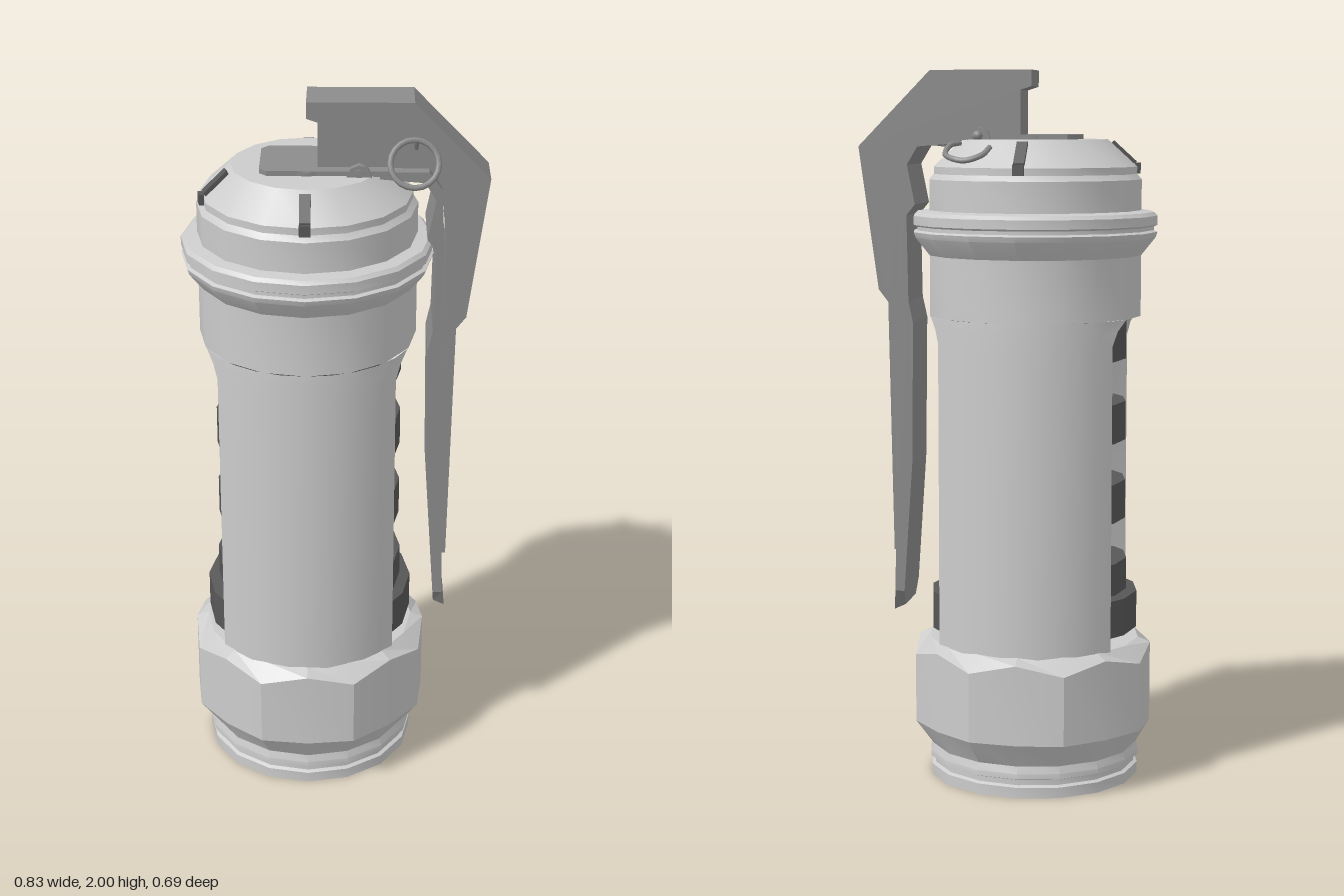
import * as THREE from 'three';
import { toCreasedNormals } from 'three/addons/utils/BufferGeometryUtils.js';

const mat = (color) => new THREE.MeshStandardMaterial({ color, side: THREE.DoubleSide });
const AXIS = -0.075; // x of the body's axis
const SIDES = 16;

export function createModel() {
  const root = new THREE.Group();
  const grey = mat(0xcccccc), steel = mat(0x8c8c8c), dark = mat(0x585858);

  const add = (parent, name, geometry, material, x = 0, y = 0, z = 0) => {
    const mesh = new THREE.Mesh(geometry, material);
    mesh.name = name;
    mesh.position.set(x, y, z);
    parent.add(mesh);
    return mesh;
  };
  const lathe = (points) => toCreasedNormals(
    new THREE.LatheGeometry(points.map(([r, y]) => new THREE.Vector2(r, y)), SIDES), 0.45);
  // Side outline extruded symmetrically across z
  const slab = (points, width) => {
    const shape = new THREE.Shape(points.map(([x, y]) => new THREE.Vector2(x, y)));
    return new THREE.ExtrudeGeometry(shape, { depth: width, bevelEnabled: false })
      .translate(0, 0, -width / 2);
  };
  const tube = (points, radius) => new THREE.TubeGeometry(
    new THREE.CatmullRomCurve3(points.map((p) => new THREE.Vector3(...p))), 20, radius, 6);

  const body = new THREE.Group();
  body.name = 'body';
  body.position.x = AXIS;
  root.add(body);

  // Threaded foot
  add(body, 'base', lathe([[0, 0], [0.3, 0], [0.3, 0.03], [0.29, 0.035], [0.29, 0.05],
    [0.303, 0.055], [0.303, 0.07], [0.295, 0.09], [0.295, 0.12]]), grey);

  // Eight-sided nut with a scalloped upper chamfer
  const nut = new THREE.LatheGeometry([[0.295, 0.09], [0.335, 0.16], [0.335, 0.36],
    [0.3, 0.4], [0.2, 0.4]].map(([r, y]) => new THREE.Vector2(r, y)), SIDES);
  const p = nut.attributes.position;
  for (let i = 0; i < p.count; i++) {
    const level = i % 5, corner = Math.floor(i / 5) % 2 === 1;
    if (corner && (level === 1 || level === 2)) {
      p.setX(i, p.getX(i) * 1.035);
      p.setZ(i, p.getZ(i) * 1.035);
    }
    if (level === 2) p.setY(i, corner ? 0.355 : 0.385);
  }
  add(body, 'nut', toCreasedNormals(nut, 0.3), grey);

  // Half shells, leaving a window on each side
  const shellHalf = () => {
    const levels = [[0.34, 36], [1.25, 36], [1.29, 32], [1.32, 24]];
    const N = 10, ring = 2 * (N + 1), pos = [], idx = [];
    levels.forEach(([y, deg], k) => {
      const g = THREE.MathUtils.degToRad(deg);
      for (let i = 0; i < ring; i++) {
        const outer = i <= N, r = outer ? 0.3 : 0.2;
        const a = g + (Math.PI - 2 * g) * (outer ? i : ring - 1 - i) / N;
        pos.push(r * Math.cos(a), y, r * Math.sin(a));
        if (k === 0) continue;
        const j = (i + 1) % ring, lo = (k - 1) * ring, up = k * ring;
        idx.push(lo + j, lo + i, up + i, lo + j, up + i, up + j);
      }
    });
    const geo = new THREE.BufferGeometry();
    geo.setAttribute('position', new THREE.Float32BufferAttribute(pos, 3));
    geo.setIndex(idx);
    return toCreasedNormals(geo, 0.5);
  };
  add(body, 'frontShell', shellHalf(), grey);
  add(body, 'backShell', shellHalf().rotateY(Math.PI), grey);

  // Inner core and its dark bands
  add(body, 'core', lathe([[0.21, 0.35], [0.21, 1.34]]), grey);
  for (const y of [0.745, 0.97, 1.2]) {
    add(body, 'band', lathe([[0.205, y], [0.26, y], [0.26, y + 0.11], [0.205, y + 0.11]]), dark);
  }
  add(body, 'lowerBand', lathe([[0.205, 0.43], [0.295, 0.43], [0.295, 0.535], [0.265, 0.54],
    [0.265, 0.63], [0.205, 0.63]]), dark);

  // Head with double flange and domed cap
  add(body, 'head', lathe([[0.2, 1.32], [0.3, 1.32], [0.3, 1.49], [0.34, 1.54], [0.345, 1.555],
    [0.335, 1.56], [0.335, 1.57], [0.345, 1.575], [0.345, 1.6], [0.335, 1.61], [0.3, 1.615],
    [0.3, 1.7], [0.287, 1.715], [0.287, 1.735], [0.205, 1.81], [0, 1.81]]), grey);

  // Dark marks on the cap: front, back and right
  for (const angle of [0, Math.PI, -Math.PI / 2 + 0.2]) {
    const mark = new THREE.Group();
    mark.name = 'capMark';
    mark.rotation.y = angle;
    body.add(mark);
    const strip = add(mark, 'markStrip', new THREE.BoxGeometry(0.03, 0.014, 0.085), dark, 0, 1.772, 0.248);
    strip.rotation.x = 0.74;
    add(mark, 'markEnd', new THREE.BoxGeometry(0.03, 0.03, 0.014), dark, 0, 1.73, 0.288);
  }

  // Mount on top of the cap
  add(body, 'mountBoss', new THREE.CylinderGeometry(0.105, 0.105, 0.02, SIDES), steel, 0, 1.81, 0);
  const plate = new THREE.Shape([[-0.2, -0.08], [-0.18, -0.1], [0.15, -0.1], [0.15, 0.1],
    [-0.18, 0.1], [-0.2, 0.08]].map(([x, y]) => new THREE.Vector2(x, y)));
  add(root, 'mountPlate', new THREE.ExtrudeGeometry(plate, { depth: 0.015, bevelEnabled: false })
    .rotateX(-Math.PI / 2), steel, 0, 1.808, 0);

  // Narrow outer lever with its top block
  add(root, 'outerLever', slab([[-0.075, 2], [0.21, 2], [0.415, 1.79], [0.36, 1.39], [0.333, 1.355],
    [0.32, 0.645], [0.305, 0.645], [0.295, 1.36], [0.3, 1.62], [0.285, 1.76], [0.26, 1.8],
    [0.2, 1.81], [-0.045, 1.815], [-0.045, 1.945], [-0.075, 1.955]], 0.132), steel);

  // Wide inner lever, narrowing at its tip
  add(root, 'innerLever', slab([[0.12, 1.82], [0.25, 1.82], [0.285, 1.77], [0.295, 1.6],
    [0.293, 1.3], [0.312, 0.53], [0.285, 0.53], [0.26, 0.9], [0.255, 1.3], [0.268, 1.36],
    [0.272, 1.6], [0.248, 1.63], [0.27, 1.74], [0.24, 1.79], [0.12, 1.8]], 0.195), steel);
  const tip = slab([[0.285, 0.53], [0.312, 0.53], [0.32, 0.47], [0.288, 0.485]], 0.195);
  const t = tip.attributes.position;
  for (let i = 0; i < t.count; i++) if (t.getY(i) < 0.5) t.setZ(i, t.getZ(i) * 0.7);
  tip.computeVertexNormals();
  add(root, 'leverTip', tip, steel);

  // Safety pin, heads, pull ring and bent pin end
  add(root, 'pin', new THREE.CylinderGeometry(0.012, 0.012, 0.25, 8).rotateX(Math.PI / 2),
    steel, 0.065, 1.82, -0.01);
  for (const s of [-1, 1]) {
    add(root, 'pinHead', new THREE.CylinderGeometry(0.033, 0.033, 0.02, 8).rotateX(Math.PI / 2),
      steel, 0.065, 1.81, s * 0.1);
  }
  add(root, 'pinKnob', new THREE.SphereGeometry(0.014, 8, 6), steel, 0.065, 1.82, -0.13);
  const ring = add(root, 'pullRing', new THREE.TorusGeometry(0.064, 0.008, 6, 20), steel, 0.21, 1.848, 0.11);
  ring.rotation.x = -0.55;
  add(root, 'ringLink', tube([[0.215, 1.86, 0.05], [0.215, 1.885, 0.07], [0.215, 1.905, 0.085]], 0.007), steel);
  add(root, 'bentPinEnd', tube([[0.015, 1.79, -0.215], [0.03, 1.77, -0.25], [0.075, 1.755, -0.265],
    [0.11, 1.76, -0.255], [0.135, 1.77, -0.225], [0.135, 1.795, -0.15], [0.115, 1.8, -0.12]], 0.008), steel);

  return root;
}
